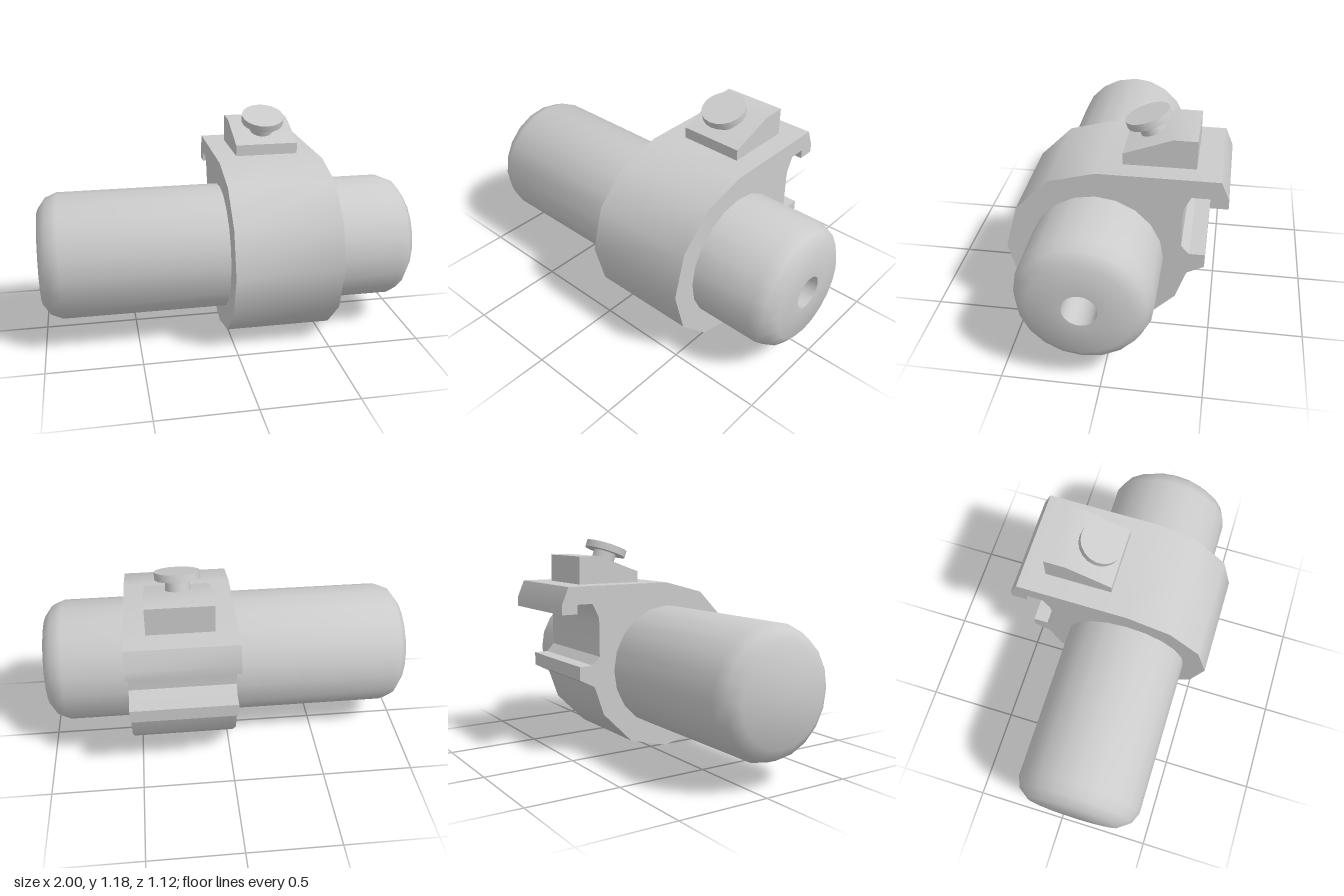
import * as THREE from 'three';
import { toCreasedNormals } from 'three/addons/utils/BufferGeometryUtils.js';

const AXIS_Y = 0.47;
const AXIS_Z = 0.09;
const CREASE = 0.72;

const material = new THREE.MeshStandardMaterial({ color: 0xcccccc });

function part(name, geometry) {
  const mesh = new THREE.Mesh(toCreasedNormals(geometry, CREASE), material);
  mesh.name = name;
  return mesh;
}

// Side profile of [depth towards the back, height] points, extruded along x
function sideExtrude(points, x0, x1) {
  const shape = new THREE.Shape(points.map(([s, y]) => new THREE.Vector2(s, y)));
  const geometry = new THREE.ExtrudeGeometry(shape, { depth: x1 - x0, bevelEnabled: false });
  return geometry.rotateY(Math.PI / 2).translate(x0, 0, 0);
}

function lathe(points, segments) {
  return new THREE.LatheGeometry(points.map(([r, h]) => new THREE.Vector2(r, h)), segments);
}

export function createModel() {
  const model = new THREE.Group();
  model.name = 'clampedCylinder';

  // Rounded cylinder with a blind hole in its +x end
  const rim = [[0.255, 1], [0.315, 0.957], [0.341, 0.895]];
  const body = lathe([
    [0, -1],
    ...rim.map(([r, h]) => [r, -h]),
    ...rim.slice().reverse(),
    [0.087, 1], [0.087, 0.7], [0, 0.7],
  ], 20);
  body.rotateZ(-Math.PI / 2).translate(0, AXIS_Y, AXIS_Z);
  model.add(part('cylinderBody', body));

  // Clamp collar: twelve-sided ring flank plus the rail hooks at the back
  const collar = [];
  for (let i = 0; i <= 8; i++) {
    const a = Math.PI / 2 + (i * Math.PI) / 6;
    collar.push([-AXIS_Z + 0.47 * Math.cos(a), AXIS_Y + 0.47 * Math.sin(a)]);
  }
  collar.push(
    [0.373, 0.395], [0.46, 0.44], [0.46, 0.513], [0.38, 0.513], [0.34, 0.558],
    [0.34, 0.735], [0.345, 0.775], [0.38, 0.845], [0.47, 0.845], [0.47, 0.795],
    [0.56, 0.795], [0.56, 0.845], [0.52, 0.94],
  );
  model.add(part('clampCollar', sideExtrude(collar, -0.025, 0.545)));

  // Wedge block on top of the collar
  const wedge = [[0.03, 0.93], [0.395, 0.93], [0.395, 1.09], [0.275, 1.09], [0.03, 1.0]];
  model.add(part('wedgeBlock', sideExtrude(wedge, 0.09, 0.435)));

  // Tilted thumb screw: stem and flat head
  const screw = part('thumbScrew', lathe([
    [0, -0.02], [0.064, -0.02], [0.064, 0.056], [0.117, 0.056], [0.117, 0.095], [0, 0.095],
  ], 20));
  screw.position.set(0.26, 1.05, -0.16);
  screw.rotation.x = THREE.MathUtils.degToRad(19);
  model.add(screw);

  return model;
}
